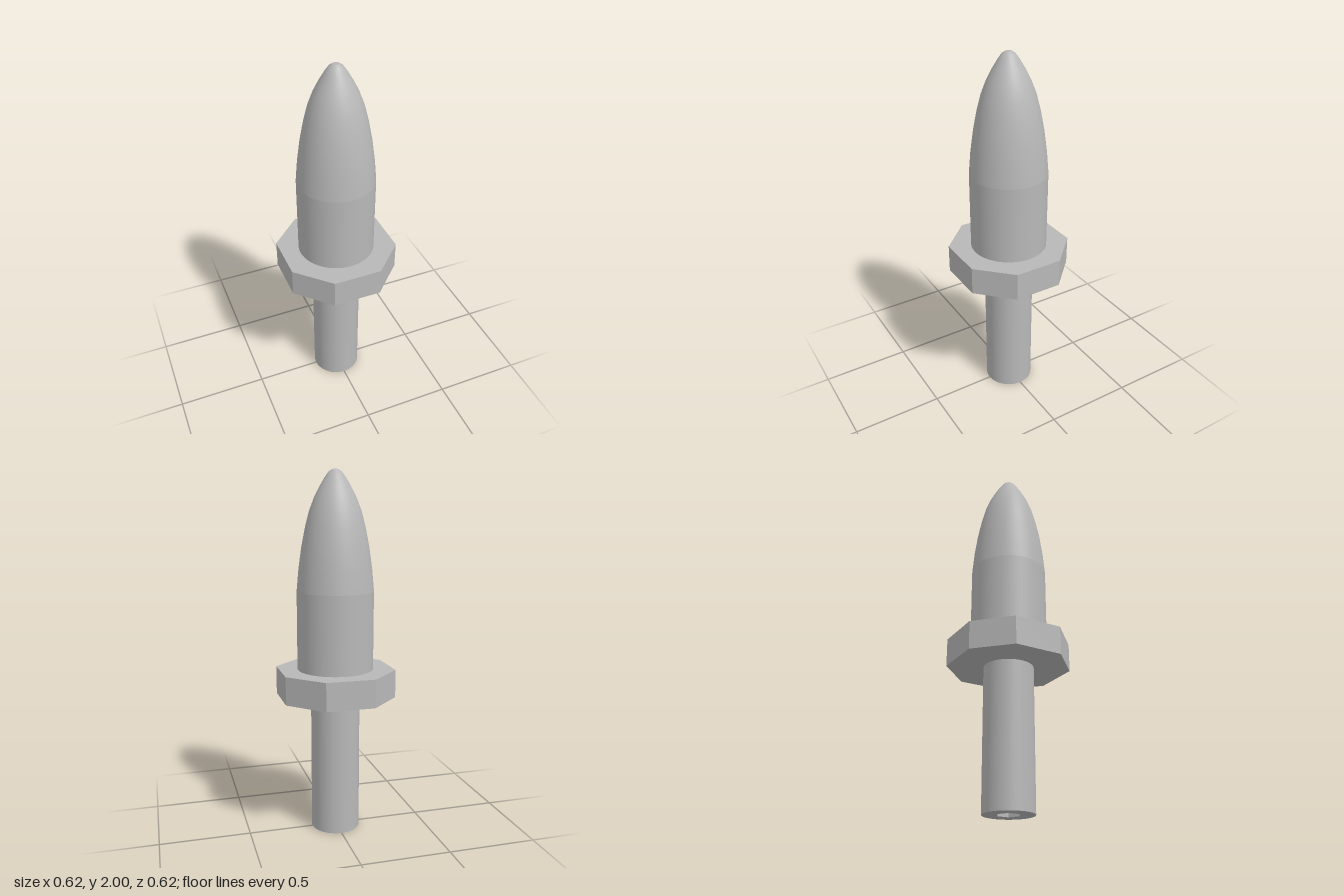
import * as THREE from 'three';

const SHAFT_R = 0.136, BODY_R = 0.21, SOCKET_R = 0.0635, SOCKET_DEPTH = 0.1;
const FLANGE_BOTTOM = 0.775, FLANGE_TOP = 0.93, NOSE_START = 1.36;
const SIDES = 64;

export function createModel() {
  const model = new THREE.Group();
  const metal = new THREE.MeshStandardMaterial({ color: 0xb8b8b8, side: THREE.DoubleSide });
  metal.name = 'grey metal';

  const add = (name, geometry, y = 0) => {
    const mesh = new THREE.Mesh(geometry, metal);
    mesh.name = name;
    mesh.position.y = y;
    model.add(mesh);
    return mesh;
  };
  // open tube wall between two heights
  const wall = (r, y0, y1, sides = SIDES) =>
    new THREE.CylinderGeometry(r, r, y1 - y0, sides, 1, true).translate(0, (y0 + y1) / 2, 0);

  // lower shaft with a hexagonal key socket in its end
  add('shaft', wall(SHAFT_R, 0, FLANGE_BOTTOM));
  const hexagon = Array.from({ length: 6 }, (_, i) => {
    const a = (i * Math.PI) / 3;
    return new THREE.Vector2(Math.sin(a) * SOCKET_R, Math.cos(a) * SOCKET_R);
  });
  const end = new THREE.Shape().absarc(0, 0, SHAFT_R, 0, Math.PI * 2);
  end.holes.push(new THREE.Path(hexagon));
  add('shaftEnd', new THREE.ShapeGeometry(end, SIDES / 2).rotateX(Math.PI / 2));

  const socket = wall(SOCKET_R, 0, SOCKET_DEPTH, 6).toNonIndexed();
  socket.computeVertexNormals();
  add('socketWalls', socket);
  add('socketFloor', new THREE.ShapeGeometry(new THREE.Shape(hexagon)).rotateX(Math.PI / 2), SOCKET_DEPTH);

  // eight-sided flange: a square with its corners cut off
  const h = 0.308, c = 0.133;
  const octagon = new THREE.Shape([
    [h, -c], [h, c], [c, h], [-c, h], [-h, c], [-h, -c], [-c, -h], [c, -h],
  ].map(([x, y]) => new THREE.Vector2(x, y)));
  const flange = new THREE.ExtrudeGeometry(octagon, { depth: FLANGE_TOP - FLANGE_BOTTOM, bevelEnabled: false });
  add('flange', flange.rotateX(-Math.PI / 2), FLANGE_BOTTOM);

  // straight body and tapering nose with a small flat tip
  add('body', wall(BODY_R, FLANGE_TOP, NOSE_START));
  const nose = [
    [BODY_R, NOSE_START], [0.199, 1.48], [0.182, 1.6], [0.162, 1.7], [0.14, 1.785],
    [0.113, 1.855], [0.085, 1.91], [0.055, 1.96], [0.035, 1.988], [0.017, 2],
  ].map(([r, y]) => new THREE.Vector2(r, y));
  add('nose', new THREE.LatheGeometry(nose, SIDES));
  add('tip', new THREE.CircleGeometry(0.017, SIDES).rotateX(-Math.PI / 2), 2);

  return model;
}
